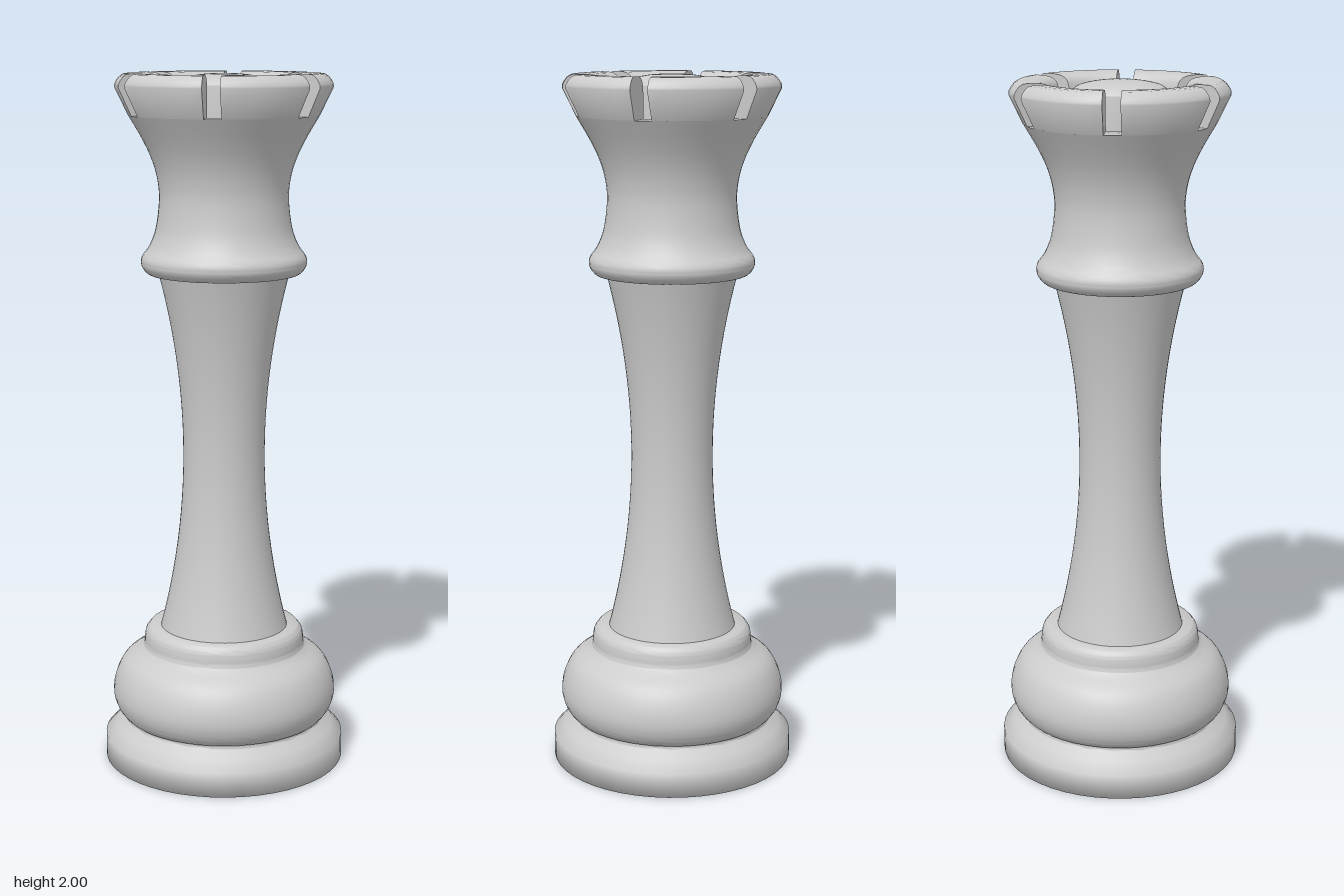
import * as THREE from 'three';
import { toCreasedNormals } from 'three/addons/utils/BufferGeometryUtils.js';

const material = new THREE.MeshStandardMaterial({ color: 0xcccccc });
const SEGMENTS = 48;

const vectors = (pairs) => pairs.map(([r, y]) => new THREE.Vector2(r, y));
const smooth = (pairs, n) => new THREE.SplineCurve(vectors(pairs)).getPoints(n);

function part(name, geometry, crease) {
  const mesh = new THREE.Mesh(toCreasedNormals(geometry, crease), material);
  mesh.name = name;
  return mesh;
}

const turned = (name, points, crease = 0.95) =>
  part(name, new THREE.LatheGeometry(points, SEGMENTS), crease);

// Crown battlements: a cross-section swept round between parallel-sided slots
const SLOT_HALF = 0.024;
const SLOT_FLOOR = 1.885;
const SLOT_RADIUS = 0.268;

function merlonGeometry() {
  const outline = [
    ...vectors([[0.188, SLOT_FLOOR], [SLOT_RADIUS, SLOT_FLOOR]]),
    ...smooth([[0.305, 1.962], [0.303, 1.975], [0.284, 1.997], [0.25, 2], [0.215, 1.996], [0.196, 1.982], [0.189, 1.955]], 14),
  ];
  const geometry = new THREE.ExtrudeGeometry(new THREE.Shape(outline), {
    depth: 1, steps: 8, bevelEnabled: false,
  });
  const pos = geometry.attributes.position;
  for (let i = 0; i < pos.count; i++) {
    const r = pos.getX(i);
    const half = Math.PI / 6 - Math.asin(SLOT_HALF / r);
    const angle = (pos.getZ(i) * 2 - 1) * half;
    pos.setXYZ(i, r * Math.cos(angle), pos.getY(i), r * Math.sin(angle));
  }
  return geometry;
}

export function createModel() {
  const model = new THREE.Group();
  model.name = 'rookPiece';

  // Underside bulging down inside the rim, with a central recess
  model.add(turned('underside', [
    ...vectors([[0, 0.05], [0.08, 0.05]]),
    ...smooth([[0.08, 0.012], [0.1, 0.004], [0.15, 0.002], [0.22, 0.01], [0.29, 0.032], [0.342, 0.068]], 20),
    ...vectors([[0.342, 0]]),
  ]));

  // Foot, rounded bulge and collar, softly shaded throughout
  model.add(turned('base', [
    ...vectors([[0.342, 0], [0.352, 0], [0.352, 0.07]]),
    ...smooth([[0.32, 0.1], [0.296, 0.12], [0.29, 0.128], [0.3, 0.135], [0.318, 0.16], [0.328, 0.2],
      [0.32, 0.25], [0.294, 0.298], [0.246, 0.333], [0.236, 0.345], [0.234, 0.365], [0.23, 0.385], [0.218, 0.4]], 48),
    ...vectors([[0.17, 0.4]]),
  ], Math.PI));

  // Waisted shaft
  const shaft = [];
  for (let i = 0; i <= 24; i++) {
    const t = i / 12 - 1;
    shaft.push(new THREE.Vector2(0.118 + 0.069 * t * t, 0.92 + 0.525 * t));
  }
  model.add(turned('shaft', shaft));

  // Upper collar, flared crown, slot floor and inner bowl
  model.add(turned('crown', [
    ...vectors([[0.15, 1.44], [0.2, 1.44]]),
    ...smooth([[0.2, 1.44], [0.218, 1.444], [0.234, 1.465], [0.233, 1.49], [0.212, 1.52], [0.193, 1.57],
      [0.183, 1.65], [0.188, 1.71], [0.204, 1.765], [0.23, 1.82], [SLOT_RADIUS, SLOT_FLOOR]], 40),
    ...vectors([[0.188, SLOT_FLOOR]]),
    ...smooth([[0.188, SLOT_FLOOR], [0.175, 1.876], [0.155, 1.872], [0.12, 1.872]], 6),
  ]));

  // Six merlons
  const merlons = new THREE.Group();
  merlons.name = 'merlons';
  const merlon = merlonGeometry();
  for (let i = 0; i < 6; i++) {
    const mesh = part('merlon', merlon, 0.95);
    mesh.rotation.y = (i * Math.PI) / 3;
    merlons.add(mesh);
  }
  model.add(merlons);

  // Shallow central dome on a short drum
  model.add(turned('dome', [
    ...vectors([[0.133, 1.87]]),
    ...smooth([[0.133, 1.962], [0.13, 1.974], [0.11, 1.987], [0.06, 1.997], [0, 2]], 14),
  ]));

  return model;
}
